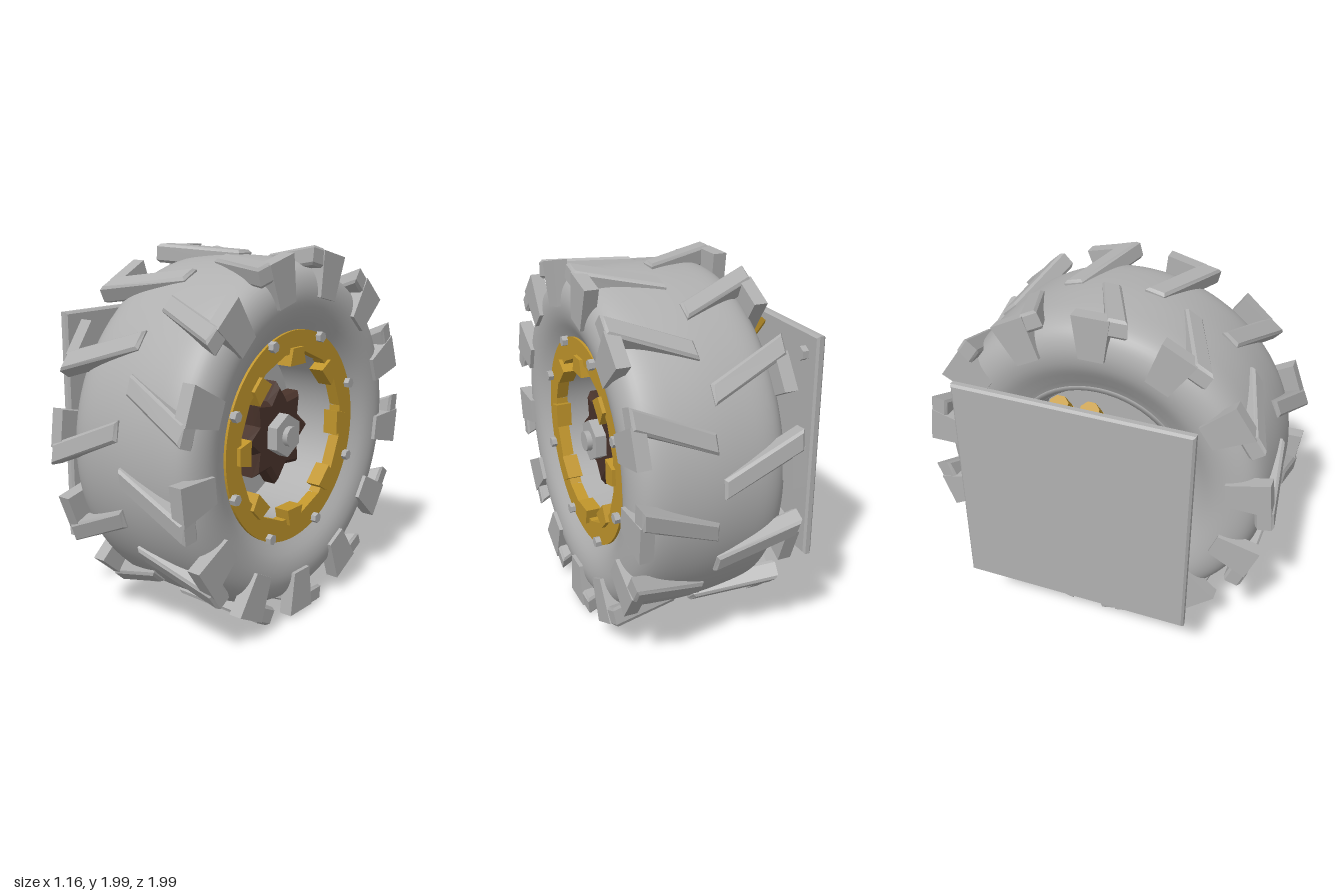
import * as THREE from 'three';

const mat = (name, color) => {
  const m = new THREE.MeshStandardMaterial({ color, side: THREE.DoubleSide });
  m.name = name;
  return m;
};

export function createModel() {
  const grey = mat('grey', 0xb0b0b0);
  const gold = mat('gold', 0xc0952b);
  const brown = mat('brown', 0x49332b);
  const model = new THREE.Group();
  const wheel = new THREE.Group(); // wheel axis runs along x
  wheel.name = 'wheel';
  wheel.position.y = 1;
  model.add(wheel);

  const add = (parent, name, geo, material, x = 0, y = 0, z = 0) => {
    const m = new THREE.Mesh(geo, material);
    m.name = name;
    m.position.set(x, y, z);
    parent.add(m);
    return m;
  };
  const shape = (pts) => new THREE.Shape(pts.map(([a, b]) => new THREE.Vector2(a, b)));
  const extrude = (s, depth, bevel = 0) => new THREE.ExtrudeGeometry(s, {
    depth: depth - 2 * bevel, bevelEnabled: bevel > 0, bevelSize: bevel, bevelOffset: -bevel,
    bevelThickness: bevel, bevelSegments: 1, curveSegments: 48,
  }).translate(0, 0, bevel);
  // extrudes a (-radius, tangent) outline along the axle
  const axial = (s, x0, x1, bevel) => extrude(s, x1 - x0, bevel).rotateY(Math.PI / 2).translate(x0, 0, 0);
  const flip = (pts) => shape(pts.map(([r, t]) => [-r, t]));
  const disc = (r0, r1, x0, x1, sides = 32) =>
    new THREE.CylinderGeometry(r1, r0, x1 - x0, sides).rotateZ(-Math.PI / 2).translate((x0 + x1) / 2, 0, 0);
  const hex = (r, x0, x1) => disc(r, r, x0, x1, 6).rotateX(Math.PI / 6).toNonIndexed();
  const lathe = (pts, seg = 96) => new THREE.LatheGeometry(pts, seg).rotateZ(-Math.PI / 2);
  // repeats a geometry around the axle; its radial direction is +z
  const ring = (name, geo, material, count, start) => {
    const g = new THREE.Group();
    g.name = name;
    for (let i = 0; i < count; i++) {
      add(g, name, geo, material).rotation.x = -(start + (i * 2 * Math.PI) / count);
    }
    wheel.add(g);
  };

  // Tyre body, symmetric about its middle plane
  const mid = 0.147;
  const half = [[0.47, 0.29], [0.52, 0.315], [0.57, 0.345], [0.66, 0.395], [0.75, 0.412],
    [0.83, 0.395], [0.885, 0.35], [0.915, 0.27], [0.928, 0.14]];
  const profile = [
    ...half.map(([r, x]) => new THREE.Vector2(r, mid - x)),
    new THREE.Vector2(0.933, mid),
    ...half.slice().reverse().map(([r, x]) => new THREE.Vector2(r, mid + x)),
  ];
  add(wheel, 'tyre', lathe(new THREE.SplineCurve(profile).getPoints(60)), grey);

  // Slanted tread bars and shoulder lugs, the two rows half a pitch apart
  const pitch = (2 * Math.PI) / 13;
  for (const side of [1, -1]) {
    const start = -Math.PI / 2 + (side > 0 ? 0 : pitch / 2);
    const cx = side > 0 ? 0.37 : -0.078;
    const h = 0.209;
    const bar = shape([[-h * side, 0.1], [-h * side, -0.005], [h * side, -0.19], [h * side, -0.08]]);
    ring('treadBar', extrude(bar, 0.1, 0.014).rotateY(-0.07 * side).translate(cx, 0, 0.868), grey, 13, start);
    const lug = flip([[0.735, -0.068], [0.735, 0.068], [0.972, 0.1], [0.972, -0.1]]);
    const x0 = side > 0 ? 0.507 : -0.288;
    ring('shoulderLug', axial(lug, x0, x0 + 0.073), grey, 13, start);
  }

  // Rim barrel and recessed wheel disc
  const barrel = [[0.5, -0.16], [0.52, -0.19], [0.5, -0.2], [0.46, -0.12], [0.45, 0.1], [0.455, 0.47]];
  add(wheel, 'rimBarrel', lathe(barrel.map(([r, x]) => new THREE.Vector2(r, x)), 64), grey);
  add(wheel, 'rimDisc', disc(0.452, 0.452, 0.1, 0.15, 48), grey);
  add(wheel, 'hubFlange', disc(0.29, 0.265, 0.15, 0.19, 40), grey);
  add(wheel, 'hubBarrel', disc(0.2, 0.18, 0.19, 0.3), grey);

  // Gold clamp ring with a faceted inner edge
  const clamp = new THREE.Shape().absarc(0, 0, 0.568, 0, Math.PI * 2);
  const hole = [];
  for (let i = 0; i < 16; i++) {
    const a = ((i + 0.5) * Math.PI) / 8;
    hole.push(new THREE.Vector2(0.455 * Math.cos(a), 0.455 * Math.sin(a)));
  }
  clamp.holes.push(new THREE.Path(hole));
  add(wheel, 'clampRing', axial(clamp, 0.44, 0.505), gold);
  ring('clampTooth', axial(flip([[0.39, -0.068], [0.39, 0.068], [0.48, 0.045], [0.48, -0.045]]), 0.44, 0.525),
    gold, 8, 0);
  ring('ringBolt', hex(0.029, 0.5, 0.535).translate(0, 0, 0.55), grey, 8, Math.PI / 8);

  // Star shaped hub cap in two layers
  const star = (outer, inner, turn) => {
    const pts = [];
    for (let i = 0; i < 16; i++) {
      const a = (i * Math.PI) / 8 + turn;
      const r = i % 2 ? inner : outer;
      pts.push([r * Math.cos(a), r * Math.sin(a)]);
    }
    return shape(pts);
  };
  add(wheel, 'hubStar', axial(star(0.285, 0.205, 0), 0.29, 0.41, 0.025), brown);
  add(wheel, 'hubStarBack', axial(star(0.25, 0.215, Math.PI / 8), 0.25, 0.32), brown);
  add(wheel, 'hubNut', hex(0.118, 0.4, 0.47), grey);
  add(wheel, 'axle', disc(0.055, 0.055, -0.1, 0.5, 12), grey);

  // Mounting plate and its bolts
  const mount = new THREE.Group();
  mount.name = 'mount';
  mount.position.y = 1;
  model.add(mount);
  const plate = shape([[-0.63, -0.625], [0.63, -0.625], [0.63, 0.635], [-0.63, 0.635]]);
  add(mount, 'mountPlate', axial(plate, -0.585, -0.535, 0.012), grey);
  for (const y of [-0.51, 0.52]) {
    for (const z of [-0.52, 0.52]) add(mount, 'plateBolt', hex(0.04, -0.536, -0.5), grey, 0, y, z);
  }

  // Suspension arms, knuckle and pivot pin
  const arm = shape([[-0.537, -0.275], [-0.51, -0.265], [0, -0.12], [0.03, -0.08], [0.03, 0.08], [0, 0.12],
    [-0.51, 0.265], [-0.537, 0.275]]);
  for (const z of [-0.225, 0.225]) add(mount, 'supportArm', extrude(arm, 0.07, 0.008), grey, 0, 0, z - 0.035);
  add(mount, 'knuckle', new THREE.BoxGeometry(0.2, 0.24, 0.4), grey, 0, 0, 0);
  add(mount, 'pivotPin', new THREE.CylinderGeometry(0.06, 0.06, 0.56, 6).rotateX(Math.PI / 2).toNonIndexed(),
    grey, -0.08, 0, 0);

  // Paired dampers leaning from the plate down to the knuckle
  for (const z of [-0.08, 0.08]) {
    const damper = new THREE.Group();
    damper.name = 'damper';
    damper.position.set(-0.42, 0.4925, z);
    damper.rotation.z = Math.atan2(0.18, 0.215);
    mount.add(damper);
    const tube = (name, r, len, y, m, sides = 8) => {
      const g = new THREE.CylinderGeometry(r, r, len, sides).rotateY(Math.PI / sides).toNonIndexed();
      g.computeVertexNormals();
      add(damper, name, g, m, 0, y, 0);
    };
    tube('damperTop', 0.052, 0.125, 0.078, gold);
    tube('damperBottom', 0.052, 0.125, -0.078, gold);
    tube('damperCollar', 0.042, 0.04, 0, gold);
    tube('damperRod', 0.02, 0.42, -0.3, grey, 10);
    add(damper, 'damperScrew', new THREE.CylinderGeometry(0.018, 0.018, 0.11, 6).rotateX(Math.PI / 2), grey);
  }

  // Crisp shading on every hard-edged part
  model.traverse((o) => {
    if (o.isMesh && /nut|bolt|pin/i.test(o.name)) o.geometry.computeVertexNormals();
  });
  return model;
}
